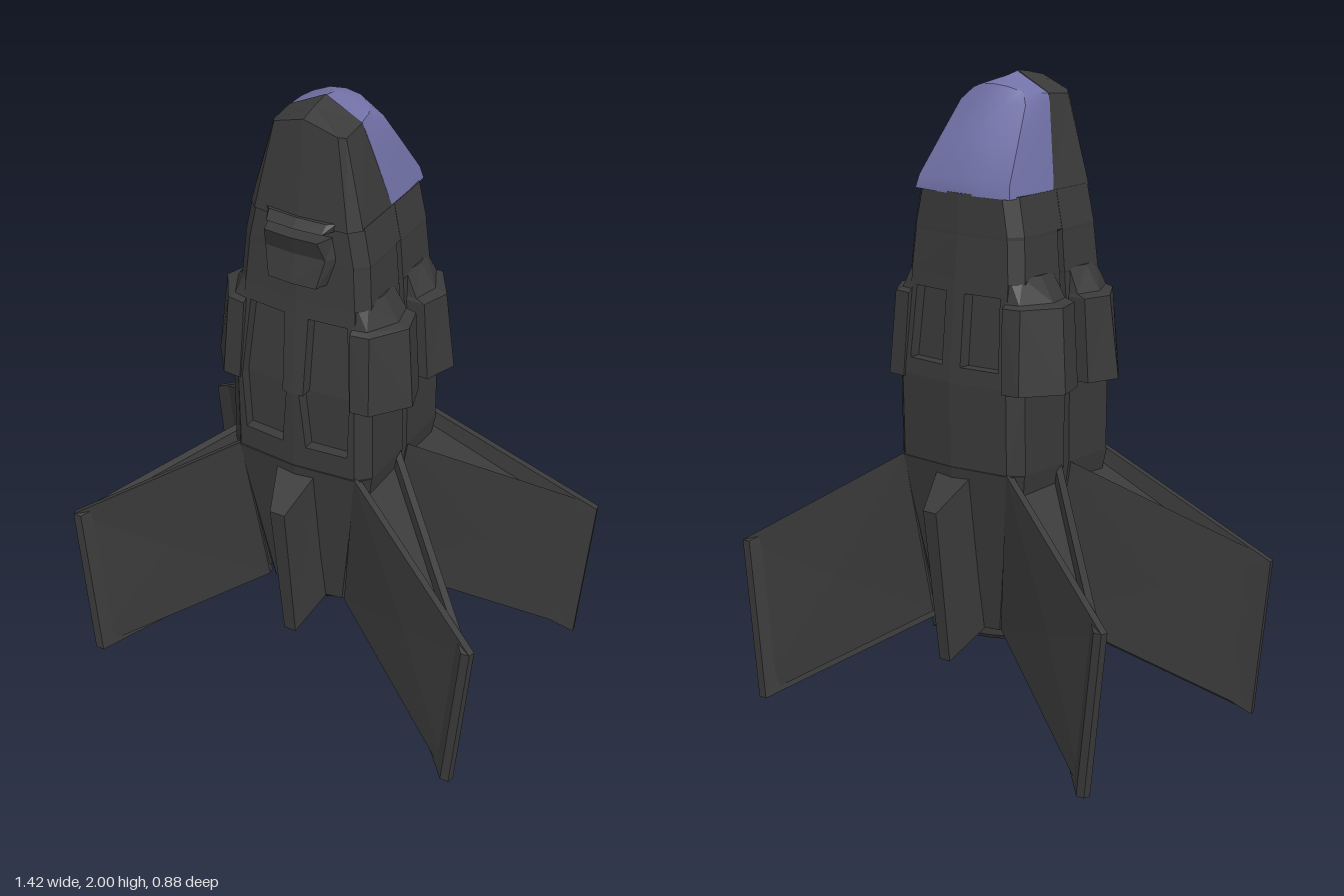
import * as THREE from 'three';
import { toCreasedNormals } from 'three/addons/utils/BufferGeometryUtils.js';

const dark = new THREE.MeshStandardMaterial({ color: 0x3a3a3a, flatShading: true });
const glass = new THREE.MeshStandardMaterial({ color: 0x7272a8 });

// Closed solid through rings of equal length; winding is fixed by signed volume
function loft(rings, topApex) {
  const p = [];
  const n = rings[0].length;
  const tri = (a, b, c) => p.push(...a, ...b, ...c);
  const mid = r => [0, 1, 2].map(k => r.reduce((s, v) => s + v[k], 0) / n);
  const last = rings[rings.length - 1];
  const low = mid(rings[0]), top = topApex || mid(last);
  for (let i = 0; i < n; i++) {
    const j = (i + 1) % n;
    for (let r = 0; r < rings.length - 1; r++) {
      const a = rings[r], b = rings[r + 1];
      tri(a[i], a[j], b[j]);
      tri(a[i], b[j], b[i]);
    }
    tri(low, rings[0][j], rings[0][i]);
    tri(top, last[i], last[j]);
  }
  let vol = 0;
  const v = k => new THREE.Vector3(p[k], p[k + 1], p[k + 2]);
  for (let k = 0; k < p.length; k += 9) vol += v(k).dot(v(k + 3).cross(v(k + 6)));
  if (vol < 0) {
    for (let k = 0; k < p.length; k += 9) {
      for (let c = 0; c < 3; c++) [p[k + 3 + c], p[k + 6 + c]] = [p[k + 6 + c], p[k + 3 + c]];
    }
  }
  const g = new THREE.BufferGeometry();
  g.setAttribute('position', new THREE.Float32BufferAttribute(p, 3));
  g.computeVertexNormals();
  return g;
}

// Half outline from x = 0 to x = 0, completed on the other side
const mirrorX = half => [...half, ...half.slice(1, -1).reverse().map(([x, y, z]) => [-x, y, z])];

// Hull cross-section from a quarter outline of [x, z] points
function section(y, quarter) {
  const q = quarter.map(([x, z]) => [x, y, z]);
  return mirrorX([...q, ...q.slice().reverse().map(([x, , z]) => [x, y, -z])]);
}
const hullSection = (y, w, f, notch = 0.001) => section(y, [
  [0, f], [w - 0.035, f - 0.018], [w, f - 0.055], [w, 0.012], [w - notch, 0.012]]);
const coreSection = (y, w, f) => section(y, [
  [0, f - 0.04], [w - 0.05, f - 0.055], [w - 0.04, f - 0.02], [w, f - 0.06], [w, 0.012], [w - 0.025, 0.012]]);

// Depth of the armour surface on the middle hull
function surfaceZ(x, y) {
  const f = y < 1.1 ? 0.255 + (y - 0.84) * 0.027 : 0.262 - (y - 1.1) * 0.1;
  return f - 0.1 * Math.abs(x);
}

export function createModel() {
  const model = new THREE.Group();
  const add = (name, geometry, material = dark, parent = model) => {
    const m = new THREE.Mesh(geometry, material);
    m.name = name;
    parent.add(m);
    return m;
  };

  // Hull from tail to neck, with a narrow seam along each side
  add('lowerHull', loft([hullSection(0.325, 0.155, 0.19), hullSection(0.84, 0.24, 0.258, 0.025)]));
  add('middleHull', loft([coreSection(0.84, 0.24, 0.258), coreSection(1.1, 0.24, 0.262),
    coreSection(1.42, 0.22, 0.23)]));
  add('upperHull', loft([hullSection(1.41, 0.22, 0.231, 0.02), hullSection(1.54, 0.21, 0.222, 0.02),
    hullSection(1.55, 0.21, 0.222), hullSection(1.665, 0.187, 0.218)]));

  // Nose shell
  add('nose', loft([
    mirrorX([[0, 1.66, 0.22], [0.155, 1.66, 0.205], [0.187, 1.66, 0.17], [0.187, 1.66, 0], [0, 1.66, 0]]),
    mirrorX([[0, 1.975, 0.185], [0.105, 1.938, 0.172], [0.12, 1.93, 0.15], [0.12, 1.94, 0.06], [0, 2, 0.06]]),
  ], [0, 1.99, 0.12]));

  // Canopy on the back of the nose
  const canopyRing = (y, x, zf, zb, zc) => mirrorX([
    [0, y, zf], [x, y, zf], [x, y, (zf + zb) / 2], [x * 0.97, y, zb], [x * 0.5, y, zc + (zb - zc) * 0.3], [0, y, zc]]);
  add('canopy', toCreasedNormals(loft([
    canopyRing(1.66, 0.186, 0, -0.2, -0.215),
    canopyRing(1.7, 0.178, 0.009, -0.19, -0.213),
    canopyRing(1.82, 0.15, 0.034, -0.115, -0.145),
    canopyRing(1.915, 0.127, 0.055, -0.055, -0.09),
    mirrorX([[0, 1.997, 0.06], [0.118, 1.94, 0.06], [0.112, 1.945, 0.01], [0.095, 1.95, -0.03],
      [0.05, 1.965, -0.05], [0, 1.97, -0.055]]),
  ], [0, 1.988, 0.01]), 0.6), glass);

  // Intake hump and brow on the front of the neck
  const humpRing = (y, w, z) => mirrorX([[0, y, z], [w * 0.8, y, z - 0.006], [w, y, 0.2], [0, y, 0.19]]);
  add('intakeHump', loft([humpRing(1.48, 0.1, 0.262), humpRing(1.57, 0.125, 0.242), humpRing(1.635, 0.11, 0.268)]));
  add('intakeBrow', loft([humpRing(1.655, 0.115, 0.25), humpRing(1.68, 0.12, 0.226)]));

  // Armour panels, each a thin quad [x0, x1 at the bottom, x0, x1 at the top] over [y0, y1]
  const panel = (group, s, dir, [a, b, c, d], y0, y1) => {
    const corners = [[a, y0], [b, y0], [d, y1], [c, y1]];
    const ring = depth => corners.map(([x, y]) => [s * x, y, dir * (surfaceZ(x, y) - depth)]);
    add('armourPanel', loft([ring(0.05), ring(0)]), dark, group);
  };
  const frontPanels = [
    [[0, 0.2, 0, 0.2], 0.84, 0.915], [[0, 0.04, 0, 0.022], 0.915, 1.1], [[0, 0.035, 0, 0.04], 1.1, 1.355],
    [[0.175, 0.2, 0.185, 0.2], 0.915, 1.1], [[0.185, 0.2, 0.165, 0.185], 1.1, 1.355],
    [[0, 0.19, 0, 0.185], 1.355, 1.42]];
  const backPanels = [
    [[0, 0.2, 0, 0.2], 0.84, 1.1], [[0, 0.2, 0, 0.2], 1.1, 1.15], [[0, 0.035, 0, 0.035], 1.15, 1.37],
    [[0.17, 0.2, 0.16, 0.185], 1.15, 1.37], [[0, 0.185, 0, 0.185], 1.37, 1.42]];
  for (const [name, list, dir] of [['frontArmour', frontPanels, 1], ['backArmour', backPanels, -1]]) {
    const group = new THREE.Group();
    group.name = name;
    model.add(group);
    for (const s of [1, -1]) for (const [xs, y0, y1] of list) panel(group, s, dir, xs, y0, y1);
  }

  // Four shoulder pods and four hollow-edged wings
  const podLevels = [
    [1.09, [[0.19, 0.025], [0.3, 0.025], [0.335, 0.13], [0.25, 0.245], [0.19, 0.25]]],
    [1.345, [[0.19, 0.025], [0.285, 0.025], [0.312, 0.115], [0.24, 0.225], [0.18, 0.235]]],
    [1.355, [[0.19, 0.03], [0.255, 0.03], [0.275, 0.112], [0.225, 0.21], [0.18, 0.22]]],
    [1.43, [[0.19, 0.04], [0.215, 0.04], [0.225, 0.11], [0.21, 0.175], [0.18, 0.2]]]];
  const tipTop = [0.705, 0.515, 0.438], tipLow = [0.648, 0.005, 0.438];
  const frontRoot = [[0.2, 0.845, 0.24], [0.135, 0.335, 0.185]];
  const sideRoot = [[0.235, 0.84, 0.018], [0.15, 0.335, 0.018]];
  const shift = (p, dx, dy, dz) => [p[0] + dx, p[1] + dy, p[2] + dz];
  for (const [sx, sz, where] of [[1, 1, 'LeftFront'], [-1, 1, 'RightFront'], [1, -1, 'LeftBack'], [-1, -1, 'RightBack']]) {
    const flip = ring => ring.map(([x, y, z]) => [sx * x, y, sz * z]);
    add('pod' + where, loft(podLevels.map(([y, pts]) => flip(pts.map(([x, z]) => [x, y, z])))));

    const wing = new THREE.Group();
    wing.name = 'wing' + where;
    model.add(wing);
    const plate = (name, root, dx, dz) => {
      const outer = [root[0], tipTop, tipLow, root[1]];
      add(name, loft([flip(outer), flip(outer.map(p => shift(p, dx, 0, dz)))]), dark, wing);
    };
    plate('outerPlate', frontRoot, 0.005, -0.022);
    plate('innerPlate', sideRoot, -0.028, 0);
    const core = (k, tip, dy) => flip([
      shift(frontRoot[k], 0, dy, -0.012), shift(tip, -0.03, dy, -0.02), shift(sideRoot[k], -0.015, dy, 0.008)]);
    add('wingCore', loft([core(1, tipLow, 0.03), core(0, tipTop, -0.05)]), dark, wing);
  }

  // Keels on the front and back of the lower hull
  for (const dir of [1, -1]) {
    const base = [[0.07, 0.825, 0.23], [0.07, 0.33, 0.17], [-0.07, 0.33, 0.17], [-0.07, 0.825, 0.23]];
    const ridge = [[0.025, 0.72, 0.356], [0.02, 0.235, 0.29], [-0.02, 0.235, 0.29], [-0.025, 0.72, 0.356]];
    const side = ring => ring.map(([x, y, z]) => [x, y, dir * z]);
    add(dir > 0 ? 'frontKeel' : 'backKeel', loft([side(base), side(ridge)]));
  }

  // Exhaust nozzle
  const profile = [[0, 0.322], [0.085, 0.322], [0.1, 0.28], [0.13, 0.27], [0.145, 0.285], [0.145, 0.325], [0.11, 0.36]]
    .map(([x, y]) => new THREE.Vector2(x, y));
  const nozzle = dark.clone();
  nozzle.side = THREE.DoubleSide;
  nozzle.flatShading = false;
  add('nozzle', toCreasedNormals(new THREE.LatheGeometry(profile, 20), 0.5), nozzle);

  return model;
}
